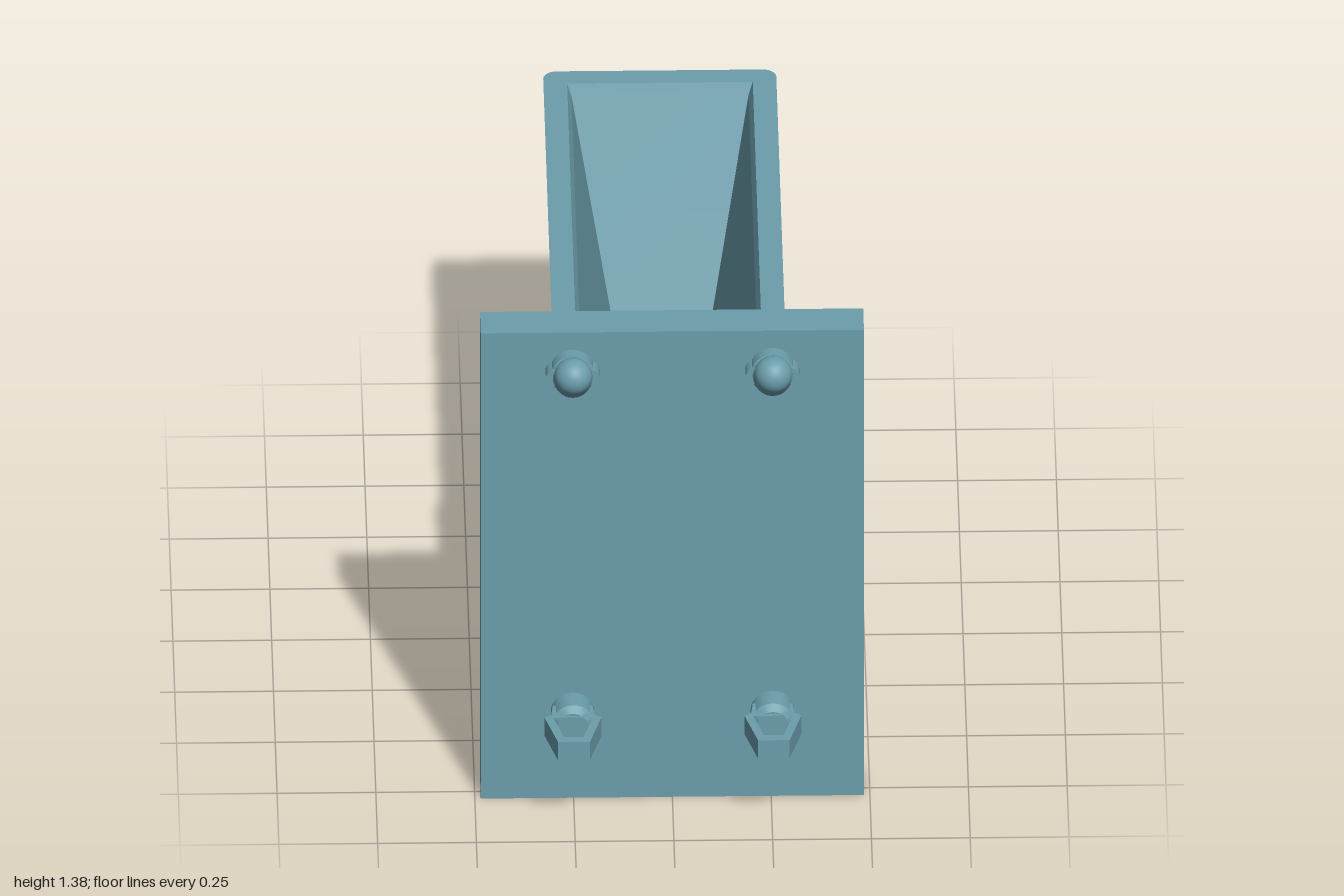
import * as THREE from 'three';
import { toCreasedNormals } from 'three/addons/utils/BufferGeometryUtils.js';

const TOP = 1.07, BEND = 0.44, SEG = 16;
const material = new THREE.MeshStandardMaterial({ color: 0x6b9dab });

function add(parent, name, geometry) {
  const mesh = new THREE.Mesh(geometry, material);
  mesh.name = name;
  parent.add(mesh);
  return mesh;
}

// Quarter arc of [x, z] points
function arc(cx, cz, r, from, to) {
  return Array.from({ length: SEG + 1 }, (_, i) => {
    const a = from + (to - from) * i / SEG;
    return [cx + r * Math.cos(a), cz + r * Math.sin(a)];
  });
}

// Outer outline at height y: neck block, step, then the flaring chute
function outline(y) {
  const t = Math.max(0, (y - BEND) / (TOP - BEND));
  const w = 0.185 + 0.11 * t, back = -0.725 - 0.275 * t, r = 0.035;
  const clip = ([x, z]) => {
    if (x >= w) return [x, z];
    const c = Math.max(0, w - 0.275);
    return [w, 0.22 - Math.sqrt(0.0009 - c * c)];
  };
  const half = [
    ...arc(0.333, 0.652, 0.028, Math.PI / 2, Math.PI),
    ...arc(0.275, 0.22, 0.03, 0, -Math.PI / 2).map(clip),
    clip([w - 0.001, 0.19]),
    ...arc(w - r, back + r, r, 0, -Math.PI / 2),
  ];
  return [...half, ...half.slice().reverse().map(([x, z]) => [-x, z])];
}

// Cavity outline, wound the opposite way so it faces inward
const cavity = (w, back, front) =>
  [[w, front], [-w, front], [-w, back], [w, back], [w, front]];

// Skin a stack of { y, pts } rings
function loft(rings) {
  const pos = [], idx = [], n = rings[0].pts.length;
  for (const { y, pts } of rings) for (const [x, z] of pts) pos.push(x, y, z);
  for (let j = 0; j < rings.length - 1; j++) {
    for (let i = 0; i < n - 1; i++) {
      const a = j * n + i, b = a + 1, c = a + n, d = b + n;
      idx.push(a, b, d, a, d, c);
    }
  }
  const g = new THREE.BufferGeometry();
  g.setAttribute('position', new THREE.Float32BufferAttribute(pos, 3));
  g.setIndex(idx);
  return toCreasedNormals(g, 0.14);
}

// Flat ring between an outline and the cavity, facing up or down
function cap(outer, inner, y, up) {
  const s = up ? -1 : 1;
  const vec = pts => pts
    .filter((p, i) => !i || Math.hypot(p[0] - pts[i - 1][0], p[1] - pts[i - 1][1]) > 1e-5)
    .map(([x, z]) => new THREE.Vector2(x, s * z));
  const shape = new THREE.Shape(vec(outer));
  shape.holes.push(new THREE.Path(vec(inner.slice(0, 4))));
  return new THREE.ShapeGeometry(shape).rotateX(s * Math.PI / 2).translate(0, y, 0);
}

// Turned collar along +z
function collar(profile) {
  const pts = profile.map(([r, z]) => new THREE.Vector2(r, z));
  return toCreasedNormals(new THREE.LatheGeometry(pts, 32).rotateX(Math.PI / 2), 0.4);
}

// Upward hook with rounded end
function hook(x) {
  const g = new THREE.Group();
  g.name = 'hookPeg';
  g.position.set(x, 1.268, 0.78);
  add(g, 'hookCollar', collar([[0.056, 0], [0.056, 0.04], [0.048, 0.055], [0, 0.055]]));
  const wings = add(g, 'hookWings', new THREE.CylinderGeometry(0.068, 0.068, 0.05, 32).rotateX(Math.PI / 2));
  wings.scale.y = 0.48;
  wings.position.z = 0.025;
  const a = new THREE.Vector3(0, -0.003, 0.05), b = new THREE.Vector3(0, 0.068, 0.153);
  const pin = add(g, 'hookPin', new THREE.CapsuleGeometry(0.048, a.distanceTo(b), 12, 32));
  pin.position.copy(a).lerp(b, 0.5);
  pin.quaternion.setFromUnitVectors(new THREE.Vector3(0, 1, 0), b.clone().sub(a).normalize());
  return g;
}

// Snap clip: collar plus a hollow arrowhead
function clip(x) {
  const g = new THREE.Group();
  g.name = 'snapClip';
  g.position.set(x, 0.26, 0.78);
  add(g, 'clipCollar', collar([[0.048, 0], [0.055, 0.012], [0.055, 0.075], [0.04, 0.092], [0, 0.092]]));
  const v = pts => pts.map(([px, pz]) => new THREE.Vector2(px, -pz));
  const head = new THREE.Shape(v([[0.05, 0.04], [0.055, 0.085], [0.072, 0.1], [0.04, 0.22],
    [-0.04, 0.22], [-0.072, 0.1], [-0.055, 0.085], [-0.05, 0.04]]));
  head.holes.push(new THREE.Path(v([[0.05, 0.1], [0.025, 0.195], [-0.025, 0.195], [-0.05, 0.1]])));
  const arrow = new THREE.ExtrudeGeometry(head, { depth: 0.054, bevelEnabled: false });
  add(g, 'clipHead', arrow.rotateX(-Math.PI / 2).translate(0, -0.02, 0));
  return g;
}

export function createModel() {
  const model = new THREE.Group();
  model.name = 'wallMountedChute';

  // Mounting plate
  add(model, 'mountingPlate', new THREE.BoxGeometry(0.97, 1.375, 0.105).translate(0, 0.6875, 0.7325));

  // Neck and chute
  const lower = cavity(0.11, -0.65, 0.305), upper = cavity(0.235, -0.94, 0.59);
  add(model, 'chuteOuter', loft([0, BEND, 0.955, 0.98, 1.01, 1.04, TOP].map(y => ({ y, pts: outline(y) }))));
  add(model, 'chuteInner', loft([
    { y: 0, pts: lower },
    { y: BEND, pts: lower },
    { y: 1.04, pts: cavity(0.224, -0.927, 0.578) },
    { y: TOP, pts: upper },
  ]));
  add(model, 'chuteRim', cap(outline(TOP), upper, TOP, true));
  add(model, 'chuteBase', cap(outline(0), lower, 0, false));

  // Fasteners on the front of the plate
  for (const x of [-0.253, 0.253]) model.add(hook(x), clip(x));
  return model;
}
